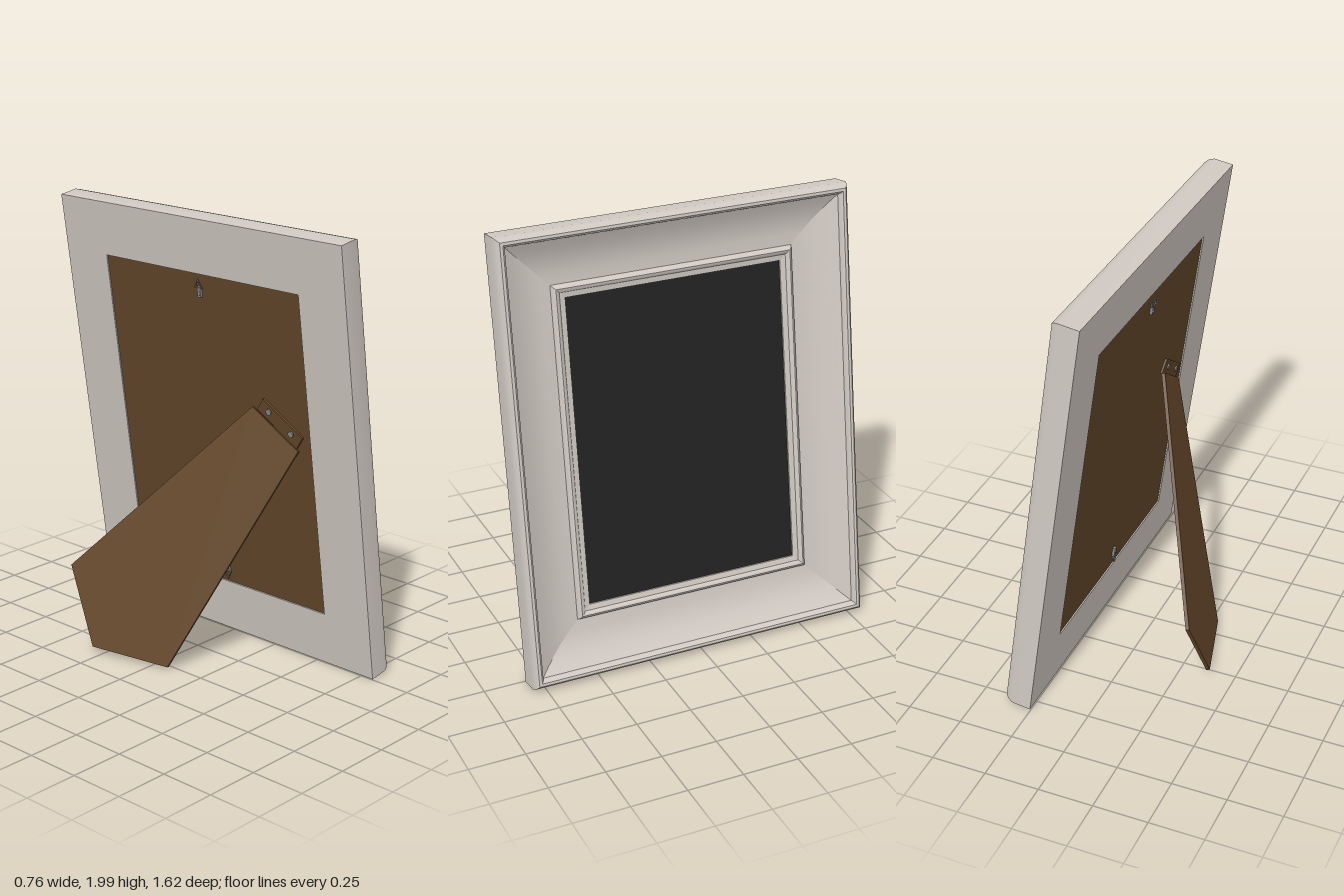
import * as THREE from 'three';
import { toCreasedNormals } from 'three/addons/utils/BufferGeometryUtils.js';

const TILT = 0.145, HALF_W = 0.81, HEIGHT = 2.0;

const material = (name, color) => {
  const m = new THREE.MeshStandardMaterial({ color });
  m.name = name;
  return m;
};

function addMesh(parent, name, geometry, mat, x = 0, y = 0, z = 0) {
  const mesh = new THREE.Mesh(geometry, mat);
  mesh.name = name;
  mesh.position.set(x, y, z);
  parent.add(mesh);
  return mesh;
}

// Moulding cross-section: inset from the outer edge, height above the back
const PROFILE = [
  [0, 0], [0, 0.09], [0.008, 0.112], [0.02, 0.125], [0.033, 0.125], [0.043, 0.115], [0.047, 0.1],
  [0.08, 0.08], [0.12, 0.06], [0.16, 0.046], [0.2, 0.038], [0.25, 0.035],
  [0.256, 0.05], [0.267, 0.057], [0.28, 0.053], [0.285, 0.046], [0.31, 0.042],
  [0.31, 0.026], [0.25, 0.026], [0.25, 0.0],
];

// Corner of the frame rectangle at a given inset
function corner(i, [inset, w]) {
  const z = (i === 0 || i === 3 ? 1 : -1) * (HALF_W - inset);
  const y = i < 2 ? inset : HEIGHT - inset;
  return [w, y, z];
}

// One mitred rail between two neighbouring corners
function railGeometry(i) {
  const j = (i + 1) % 4, pos = [];
  PROFILE.forEach((p, k) => {
    const q = PROFILE[(k + 1) % PROFILE.length];
    const p0 = corner(i, p), p1 = corner(j, p), q0 = corner(i, q), q1 = corner(j, q);
    pos.push(...p0, ...p1, ...q1, ...p0, ...q1, ...q0);
  });
  const g = new THREE.BufferGeometry();
  g.setAttribute('position', new THREE.Float32BufferAttribute(pos, 3));
  return toCreasedNormals(g, 0.7);
}

export function createModel() {
  const silver = material('silver', 0xd0c9c2);
  const black = material('black', 0x222222);
  const brown = material('brown', 0x64472a);
  const metal = material('metal', 0x8c8a87);

  const model = new THREE.Group();
  model.name = 'pictureFrame';

  // Leaning frame with its panels
  const frame = new THREE.Group();
  frame.name = 'leaningFrame';
  frame.position.set(0.255, 0.003, 0);
  frame.rotation.z = TILT;
  model.add(frame);

  ['bottomRail', 'rightRail', 'topRail', 'leftRail'].forEach((name, i) =>
    addMesh(frame, name, railGeometry(i), silver));
  addMesh(frame, 'picturePanel', new THREE.BoxGeometry(0.008, 1.46, 1.08), black, 0.03, HEIGHT / 2, 0);
  addMesh(frame, 'backBoard', new THREE.BoxGeometry(0.016, 1.5, 1.12), brown, 0.014, HEIGHT / 2, 0);

  // Hanging rings at the top and bottom of the board
  for (const [name, y, s] of [['topHanger', 1.69, 1], ['bottomHanger', 0.31, -1]]) {
    const hanger = new THREE.Group();
    hanger.name = name;
    hanger.position.set(-0.002, y, 0);
    hanger.scale.y = 1;
    if (s < 0) hanger.rotation.x = Math.PI;
    frame.add(hanger);
    const ring = addMesh(hanger, 'ring', new THREE.TorusGeometry(0.024, 0.004, 6, 3), metal, -0.006, 0.012, 0);
    ring.rotation.set(Math.PI / 2, Math.PI / 2, 0, 'YXZ');
    ring.rotation.set(0, Math.PI / 2, Math.PI / 2, 'YXZ');
    addMesh(hanger, 'strap', new THREE.BoxGeometry(0.012, 0.05, 0.018), metal, 0, -0.02, 0);
    const screw = addMesh(hanger, 'screw', new THREE.SphereGeometry(0.008, 10, 8), metal, -0.006, -0.028, 0);
    screw.scale.x = 0.6;
  }

  // Slanted hinge plate with rivets
  const hinge = new THREE.Group();
  hinge.name = 'hinge';
  hinge.position.set(0, 1.107, 0.378);
  hinge.rotation.x = 0.597;
  frame.add(hinge);
  addMesh(hinge, 'hingePlate', new THREE.BoxGeometry(0.012, 0.07, 0.25), brown, 0.002, 0.035, 0);
  for (const z of [-0.07, 0.07]) {
    const rivet = addMesh(hinge, 'rivet', new THREE.CylinderGeometry(0.014, 0.014, 0.008, 14), metal, -0.006, 0.04, z);
    rivet.rotation.z = Math.PI / 2;
  }

  // Easel leg: a flared, pointed board swinging out from the hinge
  const shape = new THREE.Shape([
    [-0.143, 0], [0.143, 0], [0.325, 1.14], [0, 1.34], [-0.325, 1.14],
  ].map(([x, y]) => new THREE.Vector2(x, y)));
  const legGeometry = new THREE.ExtrudeGeometry(shape, { depth: 0.016, bevelEnabled: false });
  legGeometry.translate(0, 0, -0.008);
  const across = new THREE.Vector3(0.03, -0.16, 0.235).normalize();
  const down = new THREE.Vector3(-0.465, -1.08, -0.648);
  down.addScaledVector(across, -down.dot(across)).normalize();
  const normal = new THREE.Vector3().crossVectors(across, down);
  const leg = addMesh(model, 'easelLeg', legGeometry, brown, 0.085, 1.1, 0.378);
  leg.quaternion.setFromRotationMatrix(new THREE.Matrix4().makeBasis(across, down, normal));

  return model;
}
